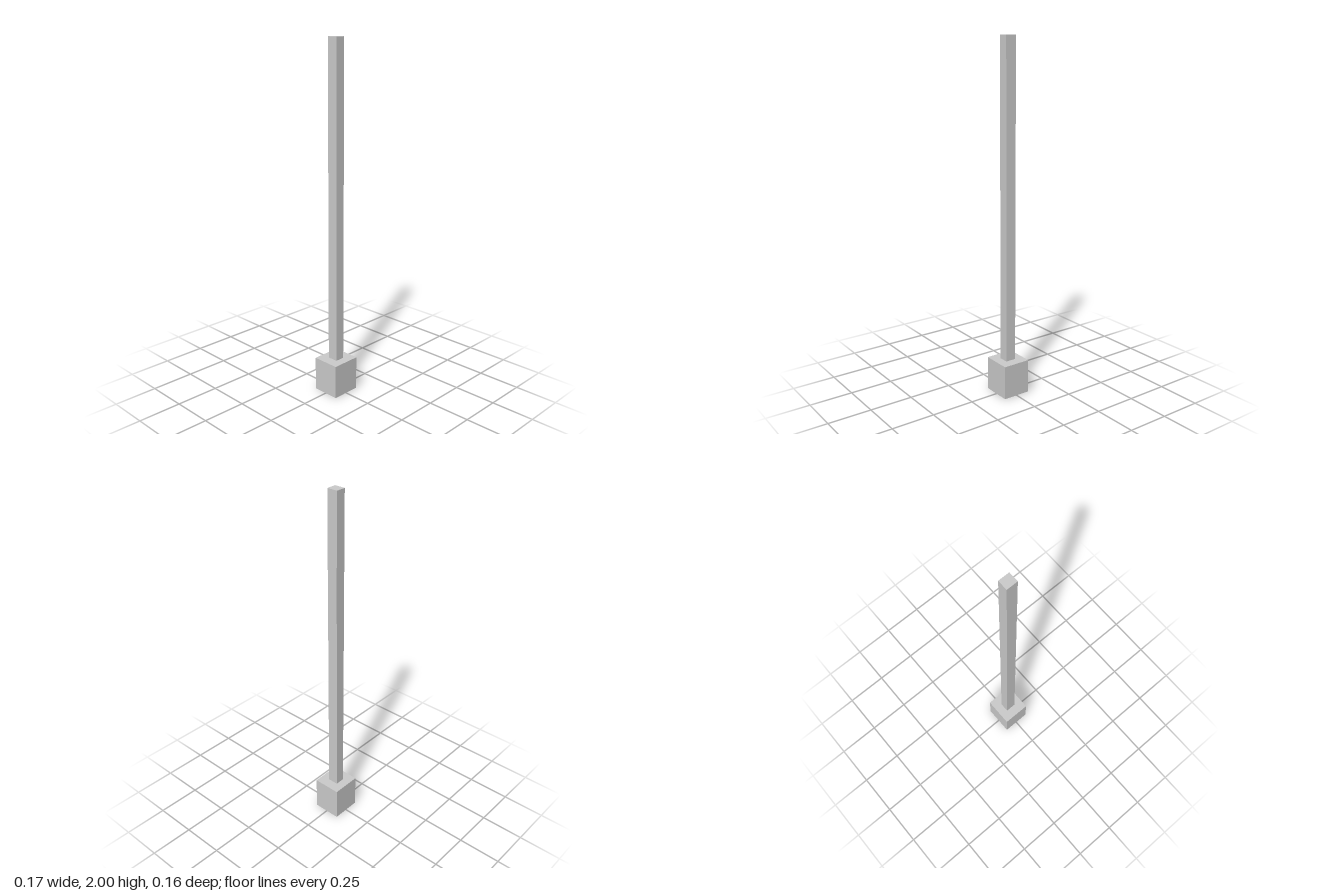
import * as THREE from 'three';

const material = new THREE.MeshStandardMaterial({ color: 0xcccccc, flatShading: true });

function box(name, w, h, d, x, y, z) {
  const mesh = new THREE.Mesh(new THREE.BoxGeometry(w, h, d), material);
  mesh.name = name;
  mesh.position.set(x, y, z);
  return mesh;
}

export function createModel() {
  const group = new THREE.Group();
  group.name = 'post';

  // Footing block and the tall square post standing on it
  group.add(box('footing', 0.17, 0.196, 0.163, 0, 0.098, 0));
  group.add(box('pole', 0.056, 1.804, 0.062, 0, 1.098, 0));

  // Thin plate on the +x face, leaning so its top sinks into the pole
  const plate = box('sidePlate', 0.012, 0.45, 0.061, 0.0226, 1.51, 0.0005);
  plate.rotation.z = 0.003;
  group.add(plate);

  return group;
}
